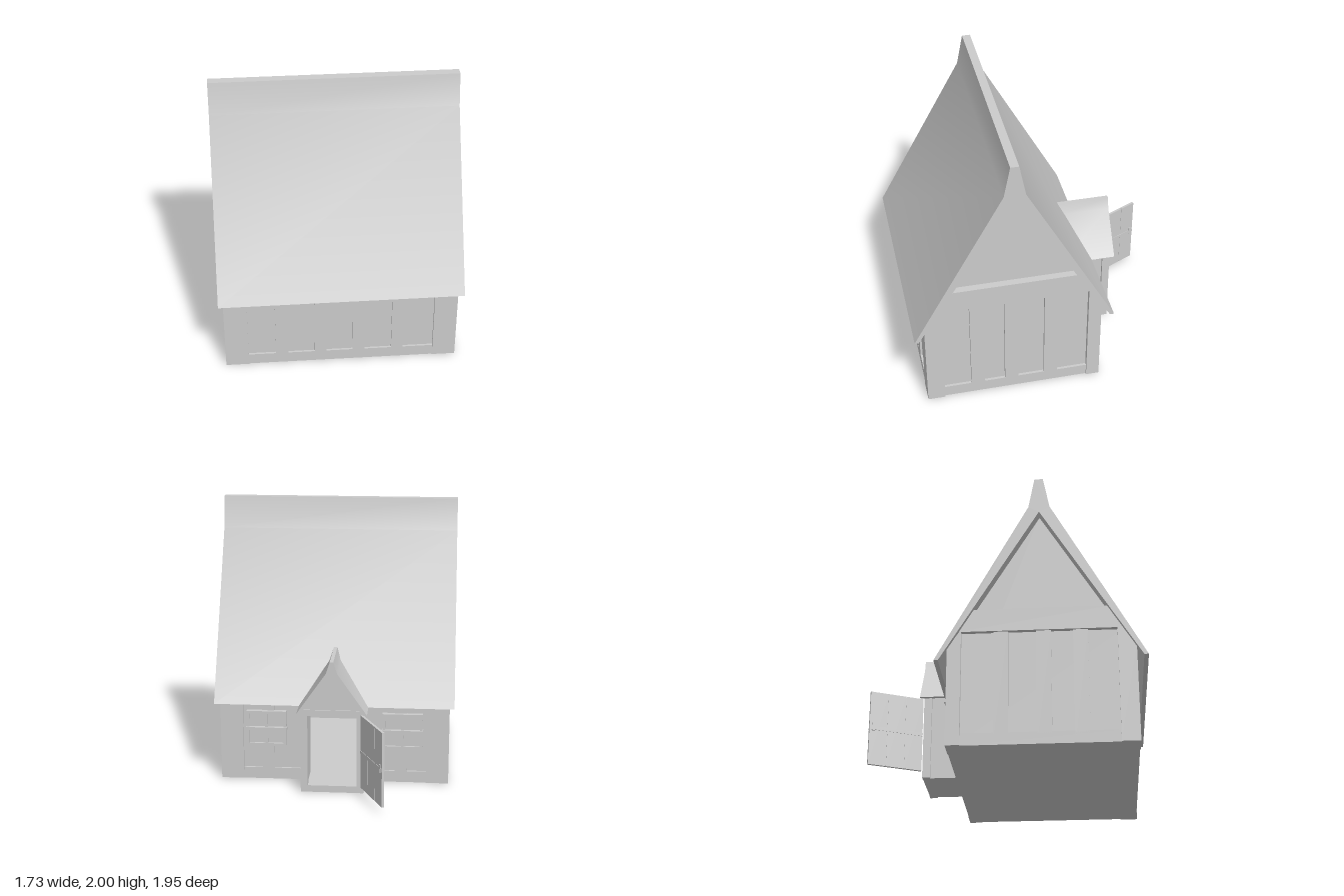
import * as THREE from 'three';
import { toCreasedNormals } from 'three/addons/utils/BufferGeometryUtils.js';

const material = new THREE.MeshStandardMaterial({ color: 0xcccccc });

export function createModel() {
  const model = new THREE.Group();

  function add(name, geometry, parent = model) {
    const mesh = new THREE.Mesh(geometry, material);
    mesh.name = name;
    parent.add(mesh);
    return mesh;
  }

  // Box given by its minimum and maximum along each axis
  function block(name, [x0, x1], [y0, y1], [z0, z1], parent = model) {
    const mesh = add(name, new THREE.BoxGeometry(x1 - x0, y1 - y0, z1 - z0), parent);
    mesh.position.set((x0 + x1) / 2, (y0 + y1) / 2, (z0 + z1) / 2);
    return mesh;
  }

  // Outline extruded from a to b along z, keeping gentle bends smooth
  function prism(points, a, b) {
    const shape = new THREE.Shape(points.map(([u, v]) => new THREE.Vector2(u, v)));
    const geometry = new THREE.ExtrudeGeometry(shape, { depth: b - a, bevelEnabled: false });
    geometry.translate(0, 0, a);
    return toCreasedNormals(geometry, 0.5);
  }

  // Outline of (z, y) points extruded from a to b along x
  const crossPrism = (points, a, b) => prism(points, -b, -a).rotateY(-Math.PI / 2);

  // Main roof with flared ridge and hollow underside
  add('mainRoof', crossPrism([
    [0.98, 0.6], [0.335, 1.77], [0.29, 2], [0.23, 2], [0.185, 1.77], [-0.46, 0.6],
    [-0.43, 0.6], [0.26, 1.73], [0.95, 0.6],
  ], -0.865, 0.865));

  // Floor and ceiling
  block('floor', [-0.81, 0.81], [0, 0.05], [-0.355, 0.885]);
  block('ceiling', [-0.79, 0.79], [0.63, 0.66], [-0.36, 0.89]);

  // Long walls, with a doorway in the back one
  block('frontWall', [-0.8, 0.8], [0, 0.68], [0.85, 0.885]);
  for (const s of [-1, 1]) {
    const inner = s * 0.19, outer = s * 0.8;
    block('backWall', [Math.min(inner, outer), Math.max(inner, outer)], [0, 0.68], [-0.355, -0.32]);
  }

  // Front framing
  const frontStuds = [[-0.47, -0.38], [-0.19, -0.105], [0.085, 0.17], [0.365, 0.45]];
  block('frontSill', [-0.75, 0.75], [0, 0.085], [0.87, 0.9]);
  for (const span of frontStuds) block('frontStud', span, [0, 0.69], [0.87, 0.9]);

  // Gable ends: recessed triangle, lower panel, framing and corner posts
  for (const s of [-1, 1]) {
    const across = (points, a, b) => crossPrism(points, Math.min(s * a, s * b), Math.max(s * a, s * b));
    add('gableWall', across([
      [-0.355, 0], [0.885, 0], [0.885, 0.72], [0.26, 1.75], [-0.355, 0.72],
    ], 0.745, 0.78));
    const panel = (name, z0, z1, y0, y1, depth) =>
      add(name, across([[z0, y0], [z1, y0], [z1, y1], [z0, y1]], 0.76, depth));
    panel('sidePanel', -0.32, 0.83, 0, 0.83, 0.8);
    panel('sideSill', -0.3, 0.8, 0, 0.085, 0.82);
    for (const [z0, z1] of [[0.48, 0.58], [0.23, 0.33], [-0.06, 0.04]]) {
      panel('sideStud', z0, z1, 0, 0.83, 0.82);
    }
    add('gableBeam', across([
      [-0.31, 0.82], [0.83, 0.82], [0.73, 0.985], [-0.21, 0.985],
    ], 0.76, 0.833));
    add('frontCornerPost', across([
      [0.78, 0], [0.905, 0], [0.905, 0.69], [0.78, 0.89],
    ], 0.668, 0.833));
    add('backCornerPost', across([
      [-0.375, 0], [-0.28, 0], [-0.28, 0.84], [-0.375, 0.7],
    ], 0.668, 0.833));
  }

  // Back framing and windows either side of the porch
  for (const s of [-1, 1]) {
    const span = (a, b) => [Math.min(s * a, s * b), Math.max(s * a, s * b)];
    block('backSill', span(0.2, 0.7), [0, 0.085], [-0.37, -0.34]);
    block('backStud', span(0.44, 0.53), [0, 0.68], [-0.37, -0.34]);
    const windowGroup = new THREE.Group();
    windowGroup.name = 'window';
    model.add(windowGroup);
    block('windowBacking', span(0.355, 0.635), [0.27, 0.525], [-0.38, -0.345], windowGroup);
    for (const x of [0.35, 0.485, 0.62]) {
      block('windowUpright', span(x, x + 0.02), [0.265, 0.53], [-0.395, -0.36], windowGroup);
    }
    for (const y of [0.265, 0.51]) {
      block('windowRail', span(0.35, 0.64), [y, y + 0.02], [-0.395, -0.36], windowGroup);
    }
    block('windowCrossbar', span(0.345, 0.645), [0.388, 0.41], [-0.408, -0.36], windowGroup);

    // Porch side wall and front post
    block('porchWall', span(0.18, 0.205), [0, 0.62], [-0.57, -0.33]);
    block('porchPost', span(0.175, 0.225), [0, 0.62], [-0.605, -0.55]);
  }

  // Porch floor, lintel, ceiling and gable
  block('porchFloor', [-0.19, 0.19], [0, 0.05], [-0.603, -0.34]);
  block('porchLintel', [-0.18, 0.18], [0.575, 0.62], [-0.603, -0.56]);
  block('porchCeiling', [-0.185, 0.185], [0.59, 0.615], [-0.57, -0.33]);
  add('porchGable', prism([[-0.21, 0.61], [0.21, 0.61], [0, 0.9]], -0.595, -0.56));

  // Porch roof running into the main roof
  add('porchRoof', prism([
    [0.25, 0.6], [0.04, 0.9], [0.013, 0.985], [-0.013, 0.985], [-0.04, 0.9], [-0.25, 0.6],
    [-0.222, 0.6], [0, 0.885], [0.222, 0.6],
  ], -0.635, -0.24));

  // Open door, hinged at the porch post
  const door = new THREE.Group();
  door.name = 'door';
  door.position.set(-0.212, 0, -0.615);
  door.rotation.y = 2.015;
  model.add(door);
  for (let i = 0; i < 3; i++) {
    block('doorPlank', [i * 0.13 + 0.001, i * 0.13 + 0.128], [0.052, 0.595], [-0.009, 0.009], door);
  }
  block('doorCore', [0, 0.385], [0.056, 0.59], [-0.007, 0.007], door);
  block('doorBand', [0, 0.388], [0.31, 0.335], [-0.012, 0.012], door);
  block('doorHandle', [0.35, 0.368], [0.3, 0.36], [-0.016, 0.016], door);

  return model;
}
